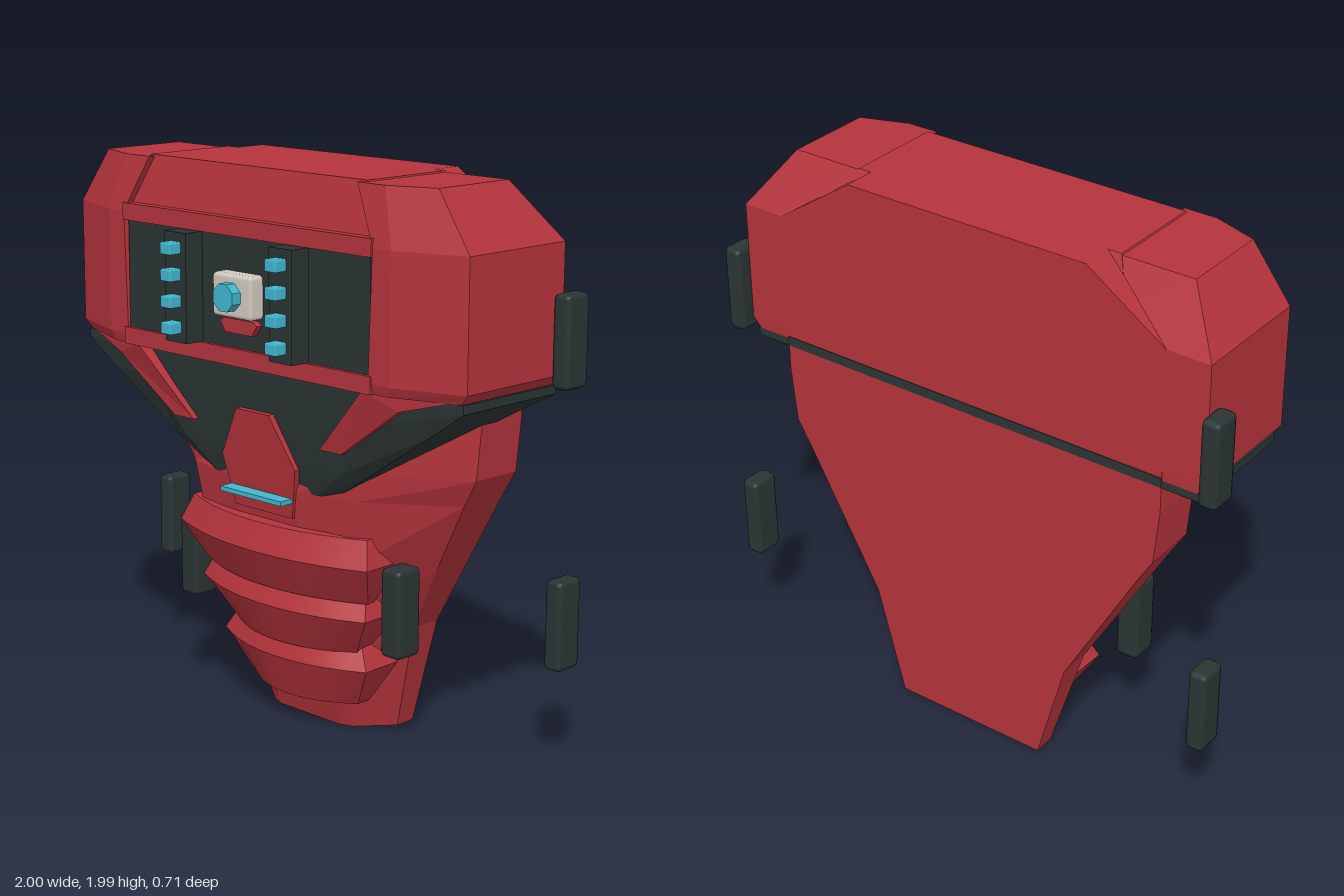
import * as THREE from 'three';
import { toCreasedNormals } from 'three/addons/utils/BufferGeometryUtils.js';
import { RoundedBoxGeometry } from 'three/addons/geometries/RoundedBoxGeometry.js';

const paint = (name, color) => {
  const m = new THREE.MeshStandardMaterial({ color });
  m.name = name;
  return m;
};

// Mirrors half an outline (front to back on +x) into a closed ring
const sym = (half) => [...half, ...half.slice().reverse().map(([x, z]) => [-x, z])];
const flip = (ring) => ring.slice().reverse().map(([x, z]) => [-x, z]);

// Skins convex rings of [x, z] stacked from bottom to top: [[y, ring], ...]
function loft(levels) {
  const pos = [];
  const n = levels[0][1].length;
  const at = (l, i) => [levels[l][1][i % n][0], levels[l][0], levels[l][1][i % n][1]];
  const tri = (a, b, c) => pos.push(...a, ...b, ...c);
  const top = levels.length - 1;
  for (let l = 0; l < top; l++) {
    for (let i = 0; i < n; i++) {
      tri(at(l, i), at(l, i + 1), at(l + 1, i + 1));
      tri(at(l, i), at(l + 1, i + 1), at(l + 1, i));
    }
  }
  for (let i = 1; i < n - 1; i++) {
    tri(at(top, 0), at(top, i), at(top, i + 1));
    tri(at(0, 0), at(0, i + 1), at(0, i));
  }
  const g = new THREE.BufferGeometry();
  g.setAttribute('position', new THREE.Float32BufferAttribute(pos, 3));
  g.computeVertexNormals();
  return g;
}

// Extrudes an [x, y] outline from z0 to z1; an optional rule offsets z
function slab(points, z0, z1, rule) {
  const shape = new THREE.Shape(points.map(([x, y]) => new THREE.Vector2(x, y)));
  const g = new THREE.ExtrudeGeometry(shape, { depth: z1 - z0, bevelEnabled: false });
  g.translate(0, 0, z0);
  if (rule) {
    const p = g.attributes.position;
    for (let i = 0; i < p.count; i++) p.setZ(i, p.getZ(i) + rule(p.getX(i), p.getY(i)));
    g.computeVertexNormals();
  }
  return g;
}

export function createModel() {
  const red = paint('red armour', 0xb5343c);
  const dark = paint('dark plating', 0x2b3434);
  const cyan = paint('cyan lights', 0x40b8d0);
  const pale = paint('pale housing', 0xd2cbc2);
  const model = new THREE.Group();
  model.name = 'chestArmour';

  const add = (name, geo, mat, x = 0, y = 0, z = 0) => {
    const m = new THREE.Mesh(geo, mat);
    m.name = name;
    m.position.set(x, y, z);
    model.add(m);
    return m;
  };
  const box = (name, mat, x0, x1, y0, y1, z0, z1) =>
    add(name, new THREE.BoxGeometry(x1 - x0, y1 - y0, z1 - z0), mat, (x0 + x1) / 2, (y0 + y1) / 2, (z0 + z1) / 2);

  // Tapered torso: y, half width, side corner z, front corner x, front z
  const torso = [
    [0, 0.3, -0.22, 0.2, -0.1],
    [0.4, 0.41, -0.18, 0.26, 0.02],
    [0.65, 0.55, -0.14, 0.34, 0.09],
    [0.9, 0.69, -0.11, 0.4, 0.1, 0.15],
    [1.0, 0.75, -0.1, 0.42, 0.1],
    [1.2, 0.77, -0.1, 0.45, 0.12],
    [1.33, 0.77, -0.1, 0.45, 0.12],
  ].map(([y, w, zs, xf, zf, zc = zf + 0.02]) => [y, sym([[0.15, zc], [xf, zf], [w, zs], [w, -0.3]])]);
  add('torso', loft(torso), red);

  // Back plate rising behind the shoulders
  add('backPlate', slab([[-0.77, 1.3], [0.77, 1.3], [0.77, 1.79], [0.47, 1.99], [-0.47, 1.99], [-0.77, 1.79]], -0.3, -0.17), red);
  box('backSeam', dark, -0.77, 0.77, 1.295, 1.33, -0.303, -0.295);

  // Upper chest between the shoulders
  add('upperChest', loft([
    [1.32, sym([[0.62, 0.23], [0.62, -0.29]])],
    [1.8, sym([[0.62, 0.22], [0.62, -0.29]])],
    [1.99, sym([[0.52, 0.185], [0.52, -0.18]])],
  ]), red);

  // Chamfered shoulder blocks
  const shoulder = [
    [1.32, [[0.585, 0.235], [0.66, 0.235], [0.9, 0.15], [0.9, -0.298], [0.5, -0.298]]],
    [1.355, [[0.585, 0.245], [0.68, 0.245], [0.93, 0.16], [0.93, -0.3], [0.5, -0.3]]],
    [1.79, [[0.6, 0.245], [0.68, 0.245], [0.93, 0.16], [0.93, -0.3], [0.5, -0.3]]],
    [1.985, [[0.5, 0.21], [0.62, 0.21], [0.79, 0.15], [0.79, -0.18], [0.47, -0.18]]],
  ];
  add('leftShoulder', loft(shoulder), red);
  add('rightShoulder', loft(shoulder.map(([y, r]) => [y, flip(r)])), red);

  // Dark breast wedge: y, half width, front z, back z
  const wedge = [
    [0.9, 0.31, 0.135, 0.09],
    [1.0, 0.47, 0.155, 0.05],
    [1.2, 0.78, 0.18, -0.18],
    [1.29, 0.91, 0.185, -0.296],
    [1.32, 0.91, 0.185, -0.296],
  ].map(([y, w, zf, zb]) => [y, sym([[Math.min(0.55, w * 0.8), zf], [w, zf - 0.03], [w, zb]])]);
  add('breastWedge', loft(wedge), dark);

  // Red flares and centre plate lying over the wedge
  const flare = [[0.55, 1.325], [0.31, 1.08], [0.41, 1.08], [0.68, 1.27], [0.9, 1.33]];
  const lean = (x, y) => (y - 1.08) * 0.2 - Math.max(0, Math.abs(x) - 0.6) * 0.27;
  for (const s of [1, -1]) {
    add('breastFlare', slab(flare.map(([x, y]) => [x * s, y]), 0.1, 0.187, lean), red);
  }
  add('centrePlate', slab([[-0.08, 1.16], [-0.18, 0.98], [-0.14, 0.8], [0.14, 0.8], [0.18, 0.98], [0.08, 1.16]],
    0.07, 0.155, (x, y) => (y - 0.87) * 0.15), red);
  box('lightBar', cyan, -0.15, 0.15, 0.858, 0.874, 0.14, 0.21);

  // Curved abdomen plates: rows of y, half width, front z, back z
  const curve = ([y, w, zf, zb]) => {
    const half = [];
    for (let i = 0; i <= 5; i++) {
      const t = i / 5;
      half.push([w * (0.04 + 0.96 * t), zf - 0.1 * t * t]);
    }
    half.push([w * 0.98, zb]);
    return [y, sym(half)];
  };
  [
    [[0.53, 0.4, 0.14, 0.0], [0.675, 0.465, 0.215, -0.06], [0.77, 0.43, 0.18, 0.02]],
    [[0.32, 0.3, 0.09, -0.08], [0.47, 0.405, 0.16, -0.14], [0.56, 0.37, 0.12, -0.06]],
    [[0.11, 0.26, 0.04, -0.15], [0.265, 0.355, 0.1, -0.19], [0.36, 0.3, 0.07, -0.12]],
  ].forEach((rows) => add('abdomenPlate', toCreasedNormals(loft(rows.map(curve)), 0.4), red));

  // Control panel with its rails
  box('panel', dark, -0.585, 0.585, 1.375, 1.765, 0.225, 0.236);
  box('topRail', red, -0.6, 0.6, 1.76, 1.82, 0.2, 0.25);
  box('bottomRail', red, -0.6, 0.6, 1.32, 1.38, 0.2, 0.25);

  // Light columns
  for (const s of [1, -1]) {
    box('lightColumn', dark, s * 0.255 - 0.053, s * 0.255 + 0.053, 1.38, 1.758, 0.23, 0.312);
    for (let i = 0; i < 4; i++) {
      add('stud', new RoundedBoxGeometry(0.054, 0.042, 0.06, 1, 0.006), cyan, s * 0.255, 1.433 + i * 0.091, 0.33);
    }
  }

  // Centre lamp
  add('lampHousing', new RoundedBoxGeometry(0.19, 0.15, 0.07, 1, 0.015), pale, 0, 1.567, 0.258);
  const lamp = new THREE.CylinderGeometry(0.05, 0.05, 0.05, 8).toNonIndexed();
  lamp.rotateY(Math.PI / 8).rotateX(Math.PI / 2);
  lamp.computeVertexNormals();
  add('lamp', lamp, cyan, 0, 1.567, 0.305);
  add('lampTab', slab([[-0.09, 1.473], [-0.065, 1.436], [0.065, 1.436], [0.09, 1.473], [0.07, 1.485], [-0.07, 1.485]], 0.23, 0.26), red);

  // Separate rounded clips at the sides: x, y, z, width
  const clips = [[0.965, 1.472, -0.298, 0.07], [0.965, 0.52, -0.298, 0.07], [0.505, 0.52, -0.007, 0.09]];
  for (const [x, y, z, w] of clips) {
    for (const s of [1, -1]) {
      add('sideClip', new RoundedBoxGeometry(w, 0.315, 0.112, 1, 0.02), dark, s * x, y, z);
    }
  }
  return model;
}
